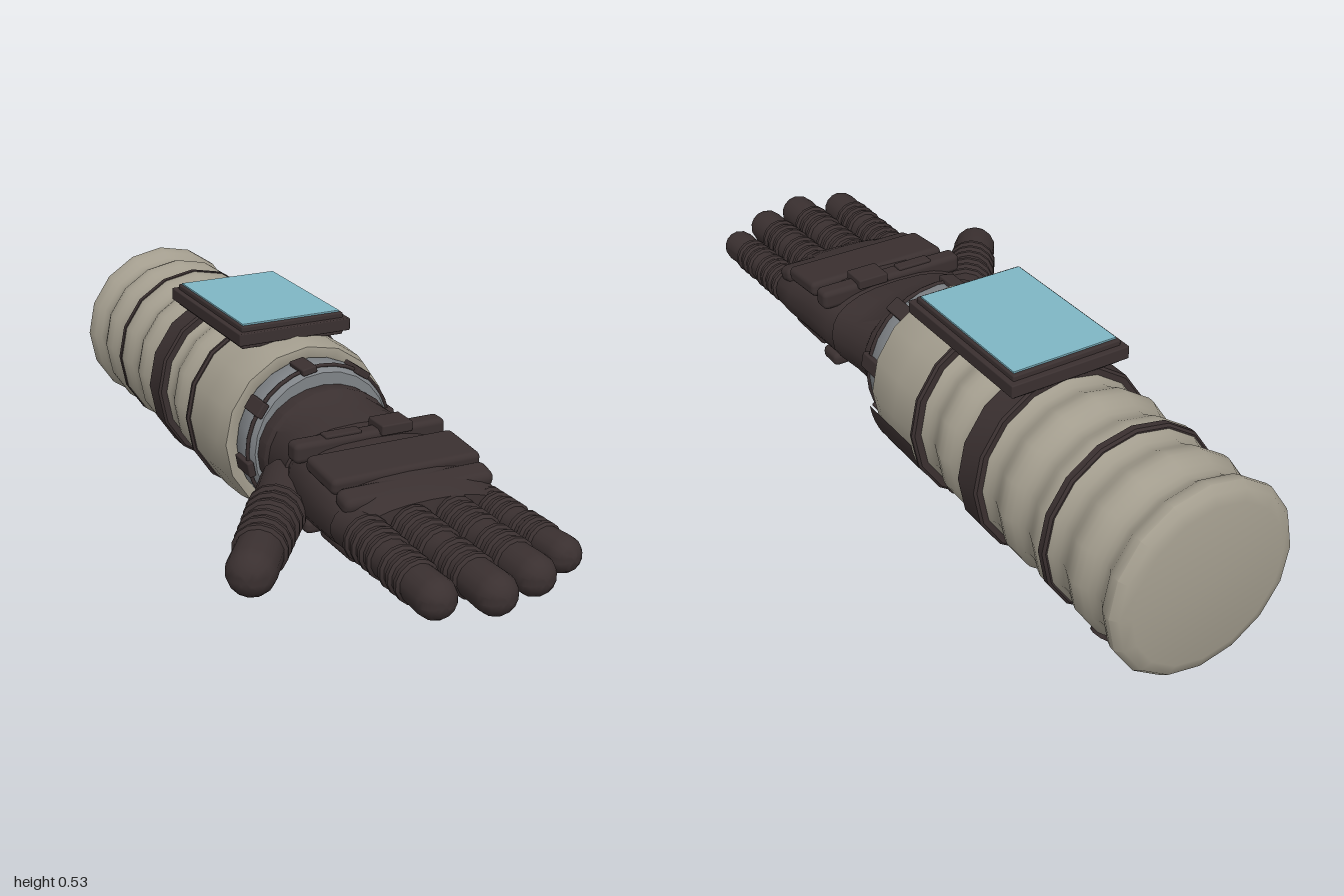
import * as THREE from 'three';
import { toCreasedNormals } from 'three/addons/utils/BufferGeometryUtils.js';
import { RoundedBoxGeometry } from 'three/addons/geometries/RoundedBoxGeometry.js';

const AX = 0.12, AY = 0.255; // centre line of the forearm

function material(name, color) {
  const m = new THREE.MeshStandardMaterial({ color });
  m.name = name;
  return m;
}

export function createModel() {
  const root = new THREE.Group();
  root.name = 'spacesuitGlove';
  const fabric = material('warmGreyFabric', 0xa39d8e);
  const rubber = material('darkRubber', 0x3a3030);
  const metal = material('greyMetal', 0x808488);
  const glass = material('blueScreen', 0x7fb6c4);

  function add(name, geo, mat, x = 0, y = 0, z = 0, parent = root) {
    const m = new THREE.Mesh(geo, mat);
    m.name = name;
    m.position.set(x, y, z);
    parent.add(m);
    return m;
  }
  // turned part running along z; pts are [radius, z] from back to front
  function turned(pts, sides = 16, start = 0, length = Math.PI * 2) {
    const g = new THREE.LatheGeometry(pts.map(p => new THREE.Vector2(p[0], p[1])), sides, start, length);
    return toCreasedNormals(g.rotateX(Math.PI / 2), 0.7);
  }
  // skin over rounded sections [z, halfWidth, halfHeight, centreX, centreY, squareness]
  function loft(sections, sides = 24) {
    const g = new THREE.LatheGeometry(sections.map((s, i) => new THREE.Vector2(1, i)), sides);
    const p = g.attributes.position;
    const soft = (v, n) => Math.sign(v) * Math.pow(Math.abs(v), 2 / n);
    for (let i = 0; i < p.count; i++) {
      const [z, w, h, cx, cy, n] = sections[Math.round(p.getY(i))];
      p.setXYZ(i, cx + w * soft(p.getX(i), n), cy - h * soft(p.getZ(i), n), z);
    }
    return toCreasedNormals(g, 0.7);
  }
  const box = (name, mat, x, y, z, w, h, d, r = 0.008) =>
    add(name, new RoundedBoxGeometry(w, h, d, 2, r), mat, x, y, z);
  const band = (name, mat, z0, z1, r, inner = 0.19) =>
    add(name, turned([[inner, z0], [r - 0.006, z0], [r, z0 + 0.005], [r, z1 - 0.005], [r - 0.006, z1], [inner, z1]]), mat, AX, AY);

  // rippled sleeve with a closed rear end
  const sleeve = [[0, -1], [0.195, -1], [0.222, -0.992]];
  for (let i = 0; i <= 48; i++) {
    const z = -0.975 + i * 0.016;
    const swell = z < -0.94 ? 0.006 : 0;
    sleeve.push([0.219 + swell + 0.01 * Math.cos((z + 0.97) / 0.13 * Math.PI * 2), z]);
  }
  add('sleeve', turned(sleeve), fabric, AX, AY);
  add('cuff', turned([[0.2, -0.22], [0.233, -0.21], [0.236, -0.12], [0.233, -0.04], [0.225, 0], [0.205, 0.003], [0.18, -0.01]]), fabric, AX, AY);

  // straps
  band('rearBand', rubber, -0.74, -0.715, 0.23);
  band('wideStrap', rubber, -0.485, -0.41, 0.238);
  band('cuffBand', rubber, -0.222, -0.205, 0.242);
  box('rearBandTab', rubber, AX, 0.03, -0.718, 0.07, 0.015, 0.06, 0.004);
  box('cuffBandTab', rubber, AX, 0.027, -0.19, 0.072, 0.014, 0.05, 0.004);

  // patches on the lower outer side of the cuff
  const patch = (name, mat, z0, z1, a0, a1, r) => {
    const deg = Math.PI / 180;
    const m = add(name, turned([[r, z0], [r, z1]], 6, a0 * deg, (a1 - a0) * deg), mat, AX, AY);
    mat.side = THREE.DoubleSide;
    return m;
  };
  patch('darkPatch', rubber, -0.205, -0.005, 60, 82, 0.239);
  patch('greyPatch', metal, -0.18, -0.03, 30, 60, 0.239);

  // small valve on the sleeve and hook below the cuff
  const valve = add('valve', new THREE.CylinderGeometry(0.025, 0.03, 0.03, 8), rubber, AX + 0.132, AY - 0.178, -0.83);
  valve.rotation.z = -Math.PI / 2 - 0.92;
  const hook = add('hookRing', new THREE.TorusGeometry(0.034, 0.006, 8, 20, Math.PI * 1.75), rubber, 0.218, 0.04, -0.15);
  hook.rotation.y = Math.PI / 2;

  // wrist lock with eight clips
  add('wristLock', turned([[0.19, -0.01], [0.198, 0.005], [0.198, 0.065], [0.185, 0.085], [0.14, 0.085]], 24), metal, AX, AY);
  const seal = add('wristSeal', new THREE.TorusGeometry(0.198, 0.005, 6, 32), rubber, AX, AY, 0.068);
  seal.scale.z = 1.3;
  for (let i = 0; i < 8; i++) {
    const a = (11 + i * 45) * Math.PI / 180;
    const clip = box('wristClip', rubber, AX + 0.199 * Math.cos(a), AY + 0.199 * Math.sin(a), 0.052, 0.018, 0.04, 0.075, 0.004);
    clip.rotation.z = a;
  }

  // forearm display
  const dx = 0.118, dz = -0.282;
  box('displayCase', rubber, dx, 0.499, dz, 0.284, 0.058, 0.41, 0.004);
  for (const s of [-1, 1]) {
    box('displaySideRail', rubber, dx + s * 0.146, 0.499, dz, 0.018, 0.032, 0.44, 0.003);
    box('displayEndRail', rubber, dx, 0.499, dz + s * 0.211, 0.3, 0.032, 0.018, 0.003);
  }
  add('screen', new THREE.BoxGeometry(0.27, 0.006, 0.39), glass, dx, 0.529, dz);

  // wrist and palm
  add('gloveWrist', loft([
    [0.07, 0.16, 0.14, AX, AY, 2], [0.085, 0.178, 0.153, AX, AY, 2], [0.125, 0.18, 0.154, AX, AY, 2],
    [0.135, 0.173, 0.146, AX, AY, 2], [0.2, 0.182, 0.124, AX, 0.26, 2.2], [0.265, 0.195, 0.108, AX, 0.264, 2.5],
    [0.275, 0.17, 0.09, AX, 0.264, 2.5],
  ]), rubber);
  add('palm', loft([
    [0.23, 0.01, 0.01, 0.115, 0.264, 2.5], [0.24, 0.17, 0.09, 0.115, 0.264, 2.5],
    [0.3, 0.198, 0.1, 0.115, 0.264, 2.8], [0.4, 0.202, 0.097, 0.115, 0.262, 2.8],
    [0.5, 0.208, 0.088, 0.117, 0.258, 2.6], [0.57, 0.207, 0.079, 0.117, 0.256, 2.4],
    [0.61, 0.185, 0.06, 0.117, 0.256, 2.3], [0.62, 0.01, 0.01, 0.117, 0.256, 2],
  ]), rubber);
  box('handStrap', rubber, 0.118, 0.352, 0.315, 0.4, 0.05, 0.05, 0.014);
  box('strapBuckle', rubber, 0.18, 0.378, 0.315, 0.082, 0.026, 0.07, 0.004);
  box('strapTab', rubber, 0.048, 0.374, 0.315, 0.095, 0.018, 0.032, 0.004);
  const plate = box('backPlate', rubber, 0.118, 0.341, 0.44, 0.385, 0.04, 0.14, 0.014);
  plate.rotation.x = 0.08;
  const roll = box('knuckleRoll', rubber, 0.118, 0.315, 0.54, 0.385, 0.045, 0.065, 0.02);
  roll.rotation.x = 0.25;
  box('palmHeelPad', rubber, 0.118, 0.172, 0.325, 0.36, 0.036, 0.07, 0.014);
  box('palmPad', rubber, 0.118, 0.178, 0.47, 0.33, 0.03, 0.16, 0.014);

  // ribbed finger from a base point to a tip point
  function finger(name, from, to, r0, r1, ribs) {
    const a = new THREE.Vector3(...from), b = new THREE.Vector3(...to);
    const len = a.distanceTo(b), body = len - r1;
    const pts = [[0, 0], [r0 * 0.95, 0.001]];
    const radius = t => r0 + (r1 - r0) * t;
    for (const t of ribs) {
      const r = radius(t), z = t * body;
      pts.push([r * 0.93, z - 0.011], [r * 1.06, z - 0.005], [r * 1.06, z + 0.005], [r * 0.93, z + 0.011]);
    }
    for (let i = 0; i <= 6; i++) {
      const q = i / 6 * Math.PI / 2;
      pts.push([r1 * Math.cos(q), body + r1 * Math.sin(q)]);
    }
    const m = add(name, turned(pts, 14), rubber, ...from);
    m.quaternion.setFromUnitVectors(new THREE.Vector3(0, 0, 1), b.sub(a).normalize());
  }
  const ribs = [0.2, 0.29, 0.38, 0.47, 0.62, 0.71, 0.8];
  finger('indexFinger', [-0.045, 0.258, 0.54], [-0.056, 0.26, 0.96], 0.054, 0.048, ribs);
  finger('middleFinger', [0.065, 0.26, 0.54], [0.063, 0.262, 1], 0.055, 0.049, ribs);
  finger('ringFinger', [0.175, 0.26, 0.54], [0.181, 0.262, 0.965], 0.054, 0.048, ribs);
  finger('littleFinger', [0.276, 0.256, 0.52], [0.296, 0.258, 0.9], 0.048, 0.043, ribs);
  finger('thumb', [-0.045, 0.228, 0.225], [-0.335, 0.212, 0.615], 0.073, 0.058, [0.35, 0.43, 0.51, 0.62, 0.7, 0.78]);

  return root;
}
